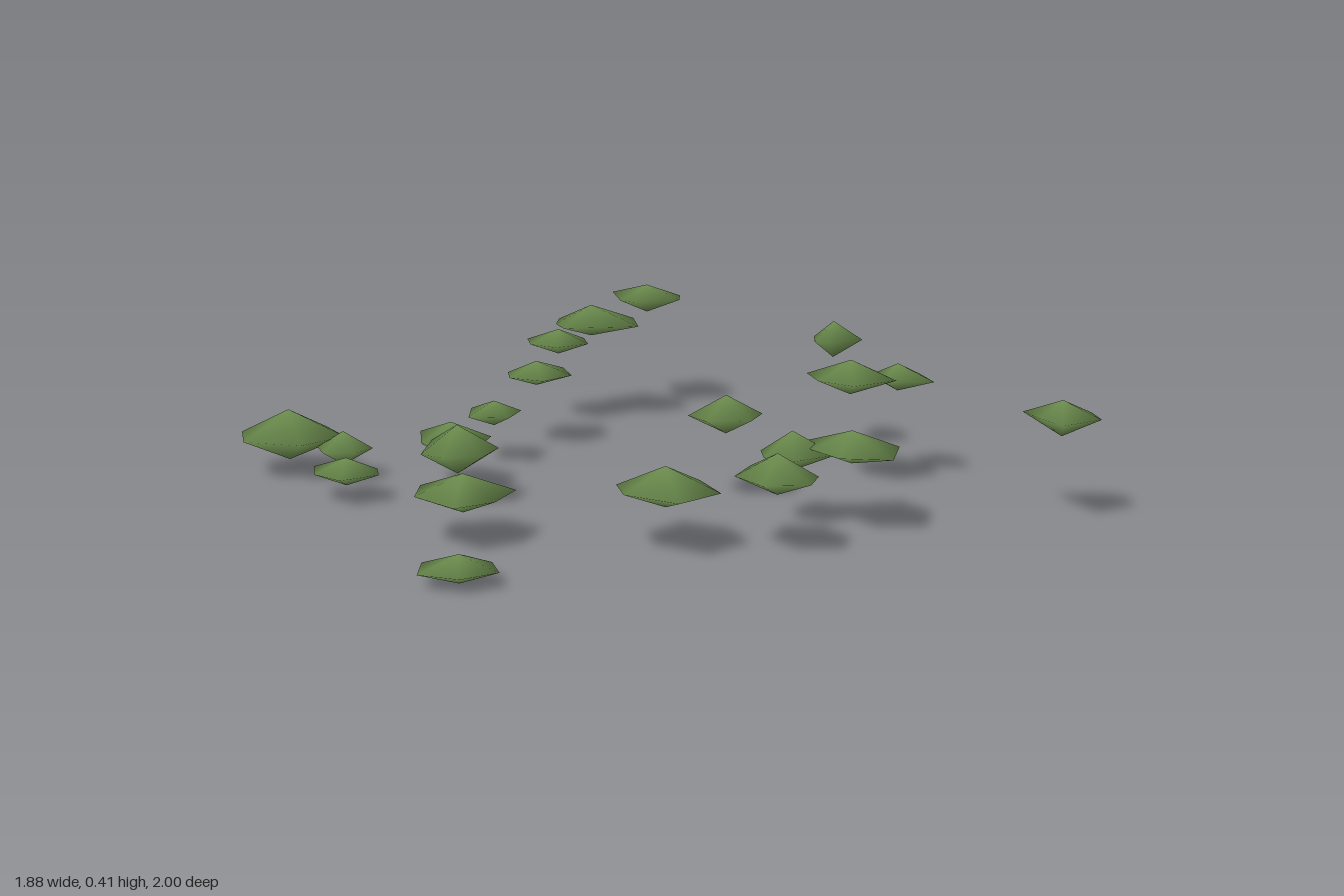
import * as THREE from 'three';

const leafGreen = new THREE.MeshStandardMaterial({ color: 0x6f9050 });
leafGreen.name = 'leafGreen';

// A flat, faceted leaf clump: one rim outline closed by a bottom and a top peak.
// Heights and x,z rim pairs are in hundredths; the rim runs clockwise from above.
function leafClump(bottom, rim, top, outline) {
  const n = outline.length / 2;
  const points = [];
  let cx = 0, cz = 0;
  for (let i = 0; i < n; i++) {
    const x = outline[2 * i] / 100, z = outline[2 * i + 1] / 100;
    points.push(x, rim / 100, z);
    cx += x / n;
    cz += z / n;
  }
  points.push(cx, top / 100, cz, cx, bottom / 100, cz);

  const faces = [];
  for (let i = 0; i < n; i++) {
    const next = (i + 1) % n;
    faces.push(n, next, i, n + 1, i, next);
  }
  const geometry = new THREE.BufferGeometry();
  geometry.setAttribute('position', new THREE.Float32BufferAttribute(points, 3));
  geometry.setIndex(faces);
  geometry.computeVertexNormals(); // shared corners give soft shading
  const mesh = new THREE.Mesh(geometry, leafGreen);
  mesh.name = 'leafClump';
  return mesh;
}

export function createModel() {
  const group = new THREE.Group();
  group.name = 'scatteredFoliage';

  // Low clumps on the right, towards the back
  group.add(
    leafClump(4, 11.5, 19, [-82, -78, -69, -82, -58, -71, -59, -56, -75, -52, -87, -65]),
    leafClump(4, 9, 14, [-67, -58, -62, -61, -54, -55, -54, -48, -61, -45, -69, -50]),
    leafClump(4, 8, 12, [-76, -41, -65, -38, -62, -29, -65, -22, -77, -22, -80, -32]),
    leafClump(8, 14, 19, [-42, -41, -32, -37, -28, -24, -37, -15, -47, -21, -49, -27]),
    leafClump(8, 15, 22, [-46, -26, -37, -22, -35, -7, -44, 0, -54, -5, -57, -12])
  );

  // Chain rising to the back left
  group.add(
    leafClump(11, 15, 18.5, [-17, -56, -9, -53, -6, -45, -14, -38, -24, -45]),
    leafClump(18.5, 22, 26, [9, -70, 20, -64, 16, -52, 4, -49, -2, -59, 2, -67]),
    leafClump(22, 26, 30, [24, -93, 38, -93, 40, -84, 36, -75, 24, -75, 20, -84]),
    leafClump(27, 31.5, 37, [36, -93, 50, -93, 57, -81, 50, -67, 28, -77, 30, -85]),
    leafClump(32, 37, 41, [61, -100, 76, -97, 76, -82, 71, -75, 56, -79, 54, -84])
  );

  // Front right and front middle
  group.add(
    leafClump(8, 13, 18.5, [-69, 11, -54, 15, -50, 29, -61, 37, -73, 37, -76, 21]),
    leafClump(0, 4, 7.5, [-88, 48, -76, 48, -73, 57, -76, 66, -87, 66, -94, 57]),
    leafClump(11, 16, 22, [-31, 48, -17, 44, -10, 56, -13, 70, -28, 73, -35, 58]),
    leafClump(15, 20, 26, [1, 63, 9, 69, 9, 82, 2, 88, -9, 82, -9, 70]),
    leafClump(15, 20, 26, [13, 51, 23, 48, 28, 55, 27, 66, 13, 66, 9, 58]),
    leafClump(18, 22, 27, [24, 55, 42, 60, 42, 74, 31, 85, 20, 76, 20, 64])
  );

  // Higher clumps on the left
  group.add(
    leafClump(19, 24.5, 30, [20, 15, 28, 21, 28, 31, 20, 37, 9, 31, 9, 22]),
    leafClump(27, 32, 37, [50, 22, 65, 22, 68, 33, 65, 44, 50, 44, 46, 33]),
    leafClump(26, 30, 34, [72, 25, 80, 26, 83, 33, 79, 44, 67, 36, 68, 32]),
    leafClump(30, 36, 41, [73, -5, 83, -11, 86, -3, 82, 7, 70, 6, 68, 2]),
    leafClump(23, 28.5, 33, [79, 81, 88, 84, 94, 92, 90, 100, 76, 100, 77, 90])
  );

  return group;
}
